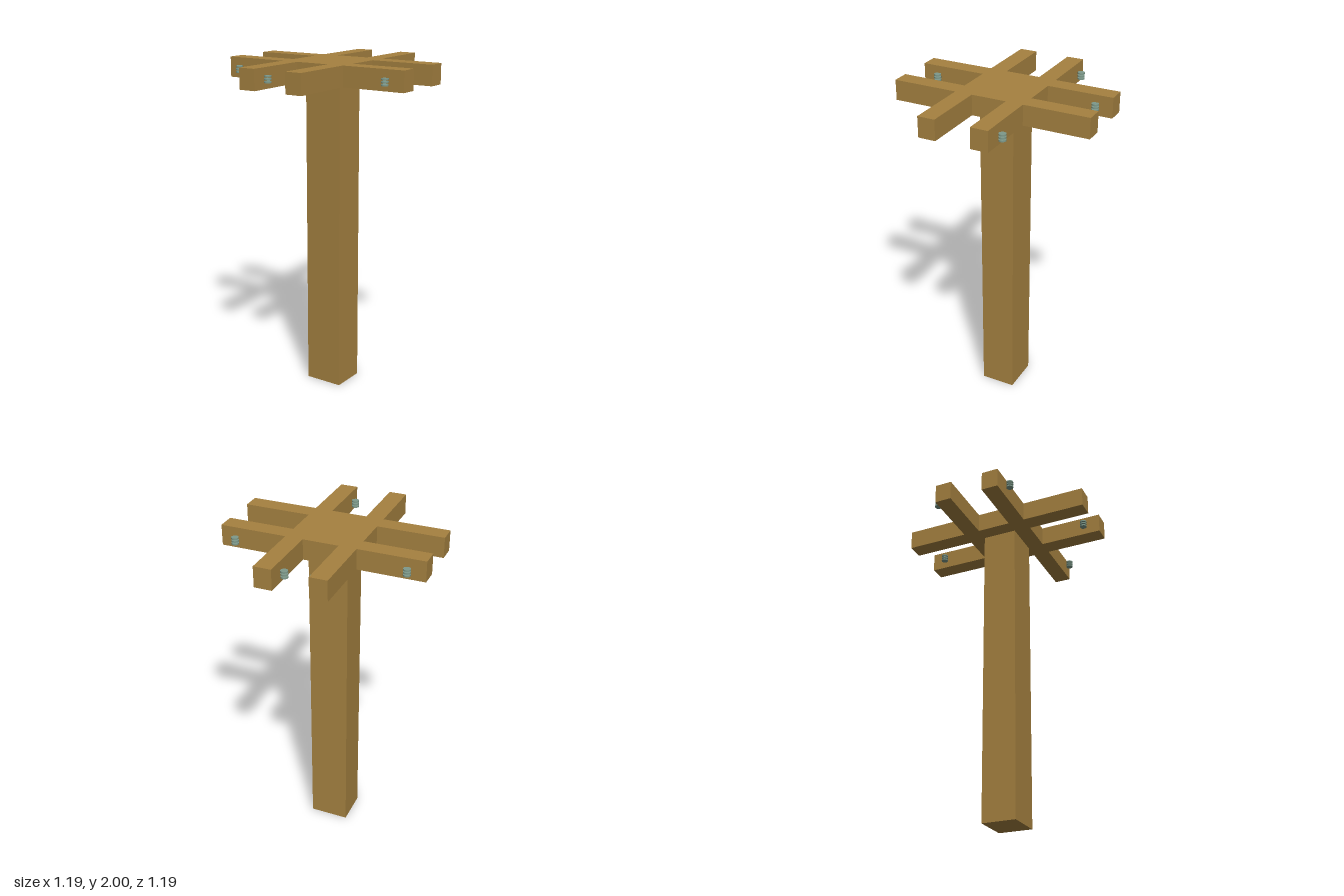
import * as THREE from 'three';

export function createModel() {
  const model = new THREE.Group();
  const wood = new THREE.MeshStandardMaterial({ color: 0xa58140 });
  wood.name = 'wood';
  const glass = new THREE.MeshStandardMaterial({ color: 0x7d998a });
  glass.name = 'insulatorGreen';

  const add = (name, geometry, material, x, y, z, parent = model) => {
    const mesh = new THREE.Mesh(geometry, material);
    mesh.name = name;
    mesh.position.set(x, y, z);
    parent.add(mesh);
    return mesh;
  };

  // Upright post
  add('post', new THREE.BoxGeometry(0.234, 1.88, 0.21), wood, 0, 0.94, 0);

  // Head: square centre with two arms on each side, one quarter outline turned four times
  const inner = 0.104, outer = 0.207, reach = 0.597;
  const quarter = [
    [outer, -outer], [reach, -outer], [reach, -inner], [outer, -inner],
    [outer, inner], [reach, inner], [reach, outer],
  ];
  const outline = [];
  for (let i = 0; i < 4; i++) {
    for (const [x, y] of quarter) {
      outline.push(new THREE.Vector2(x, y).rotateAround(new THREE.Vector2(), i * Math.PI / 2));
    }
  }
  const headGeometry = new THREE.ExtrudeGeometry(new THREE.Shape(outline), { depth: 0.12, bevelEnabled: false });
  headGeometry.rotateX(-Math.PI / 2);
  add('crossarms', headGeometry, wood, 0, 1.88, 0);

  // Insulators: stacks of three thin discs beside the arms
  const disc = new THREE.CylinderGeometry(0.021, 0.021, 0.009, 20);
  const spots = [];
  for (const s of [-1, 1]) {
    spots.push([s * 0.5, -0.238], [s * 0.5, 0.244], [-0.088, s * 0.5], [0.077, s * 0.5]);
  }
  for (const [x, z] of spots) {
    const insulator = new THREE.Group();
    insulator.name = 'insulator';
    insulator.position.set(x, 1.936, z);
    for (const i of [-1, 0, 1]) add('insulatorDisc', disc, glass, 0, i * 0.016, 0, insulator);
    model.add(insulator);
  }
  return model;
}
